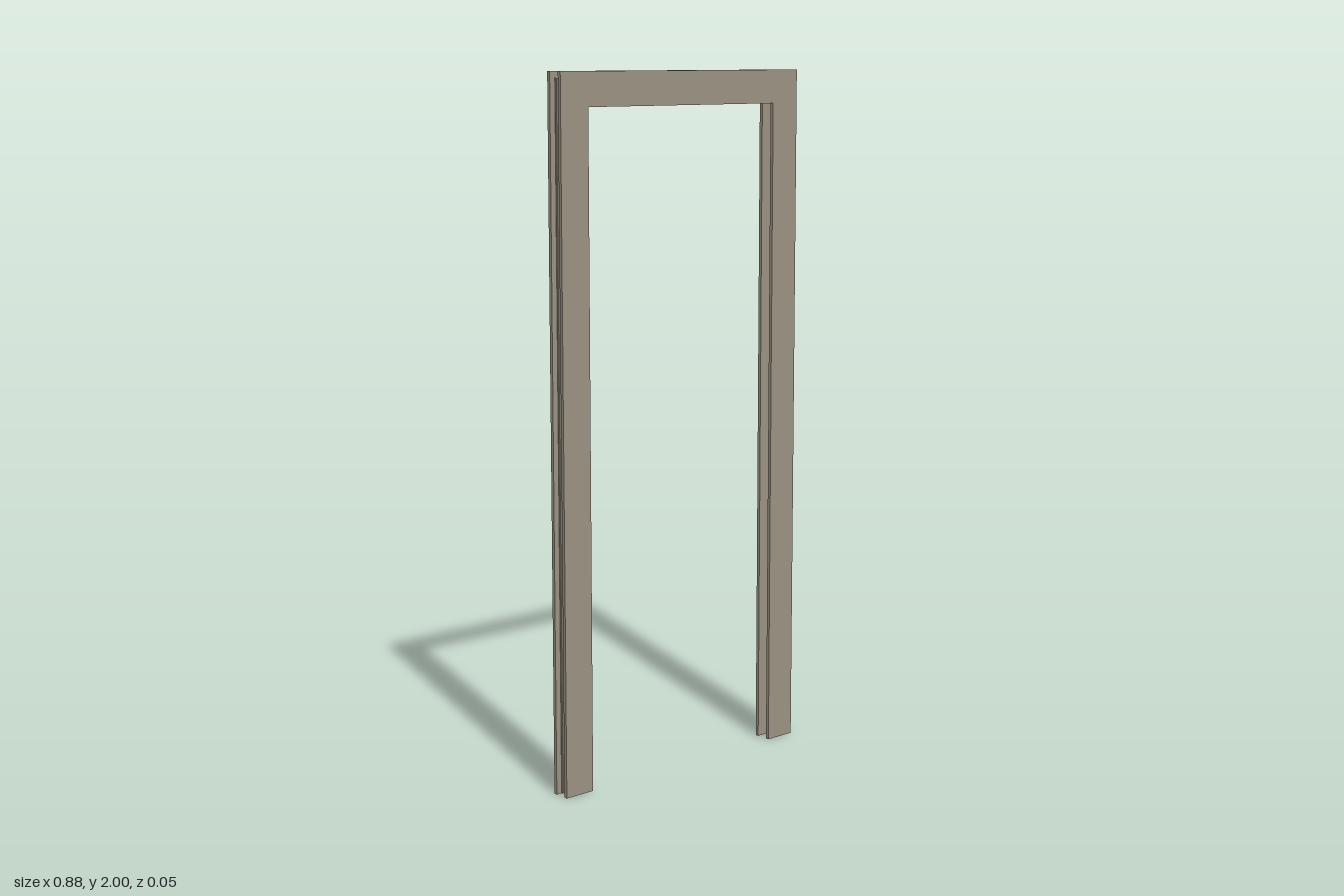
import * as THREE from 'three';

const HALF_WIDTH = 0.44, HEIGHT = 2;

// U-shaped band between two insets from the outer edge, open at the floor
function band(name, outer, inner, z0, z1, material) {
  const xo = HALF_WIDTH - outer, yo = HEIGHT - outer;
  const xi = HALF_WIDTH - inner, yi = HEIGHT - inner;
  const shape = new THREE.Shape([
    [-xo, 0], [-xi, 0], [-xi, yi], [xi, yi], [xi, 0], [xo, 0], [xo, yo], [-xo, yo],
  ].map(([x, y]) => new THREE.Vector2(x, y)));
  const geometry = new THREE.ExtrudeGeometry(shape, { depth: z1 - z0, bevelEnabled: false });
  geometry.translate(0, 0, z0);
  const mesh = new THREE.Mesh(geometry, material);
  mesh.name = name;
  return mesh;
}

export function createModel() {
  const group = new THREE.Group();
  group.name = 'doorFrame';
  const material = new THREE.MeshStandardMaterial({ color: 0x9c9484 });

  // Flat casings on both faces of the wall
  group.add(band('frontCasing', 0, 0.095, 0.017, 0.0275, material));
  group.add(band('backCasing', 0, 0.095, -0.0275, -0.017, material));

  // Recessed lining joining the casings, with a raised stop along its middle
  group.add(band('lining', 0.02, 0.04, -0.017, 0.017, material));
  group.add(band('stop', 0.04, 0.057, -0.008, 0.008, material));

  // Small fillet lips where the lining meets each casing
  group.add(band('frontLip', 0.017, 0.02, 0.014, 0.017, material));
  group.add(band('backLip', 0.017, 0.02, -0.017, -0.014, material));
  return group;
}
